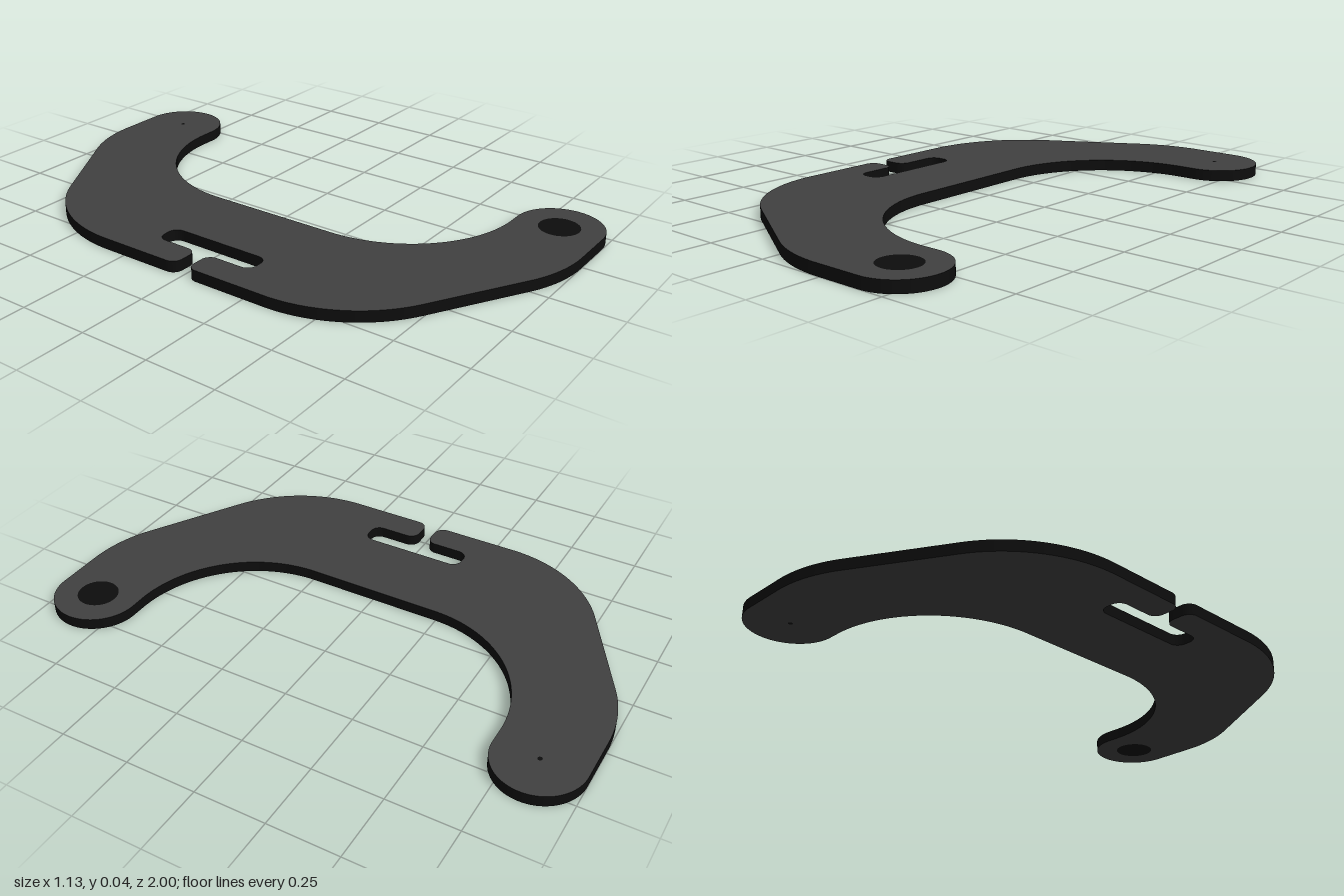
import * as THREE from 'three';

const THICK = 0.04;
const PI = Math.PI;

// Half of the outline (one arm), from the inner edge round to the slot
function halfOutline() {
  const p = new THREE.Path();
  p.moveTo(-0.085, 0);
  p.absarc(0.36, 0.245, 0.445, PI, PI / 2, true);            // inner bend
  p.absarc(0.41, 0.845, 0.155, -PI / 2, PI / 2, false);      // rounded arm end
  p.absarc(0.24, 0.52, 0.48, PI / 2, PI * 2 / 3, false);     // outer bends
  p.absarc(-0.087, 0.33, 0.48, PI * 2 / 3, PI, false);
  p.absarc(-0.532, 0.06, 0.035, PI, PI * 1.5, false);        // finger tip
  p.absarc(-0.495, 0.06, 0.035, PI * 1.5, PI * 2, false);
  p.absarc(-0.425, 0.16, 0.035, PI, PI / 2, true);           // slot end
  p.absarc(-0.405, 0.16, 0.035, PI / 2, 0, true);
  p.lineTo(-0.37, 0);
  return p.getPoints(24);
}

export function createModel() {
  const group = new THREE.Group();
  const faceGrey = new THREE.MeshStandardMaterial({ color: 0x404040 });
  faceGrey.name = 'faceGrey';
  const edgeBlack = new THREE.MeshStandardMaterial({ color: 0x0d0d0d });
  edgeBlack.name = 'edgeBlack';

  // Inserts in the arm ends: x, z, radius
  const inserts = [
    ['frontInsert', 0.41, 0.845, 0.072],
    ['backPin', 0.41, -0.845, 0.008],
  ];

  // Flat plate, mirrored front to back, with dark edges
  const half = halfOutline();
  const mirrored = half.slice(1, -1).reverse().map((v) => new THREE.Vector2(v.x, -v.y));
  const shape = new THREE.Shape([...half, ...mirrored]);
  for (const [, x, z, r] of inserts) {
    shape.holes.push(new THREE.Path().absarc(x, -z, r, 0, PI * 2, true));
  }
  const plateGeo = new THREE.ExtrudeGeometry(shape, { depth: THICK, bevelEnabled: false, curveSegments: 24 });
  plateGeo.rotateX(-PI / 2);
  const plate = new THREE.Mesh(plateGeo, [faceGrey, edgeBlack]);
  plate.name = 'plate';
  group.add(plate);

  // Flush round inserts
  for (const [name, x, z, r] of inserts) {
    const insert = new THREE.Mesh(new THREE.CylinderGeometry(r, r, THICK, 48), edgeBlack);
    insert.name = name;
    insert.position.set(x, THICK / 2, z);
    group.add(insert);
  }
  return group;
}
